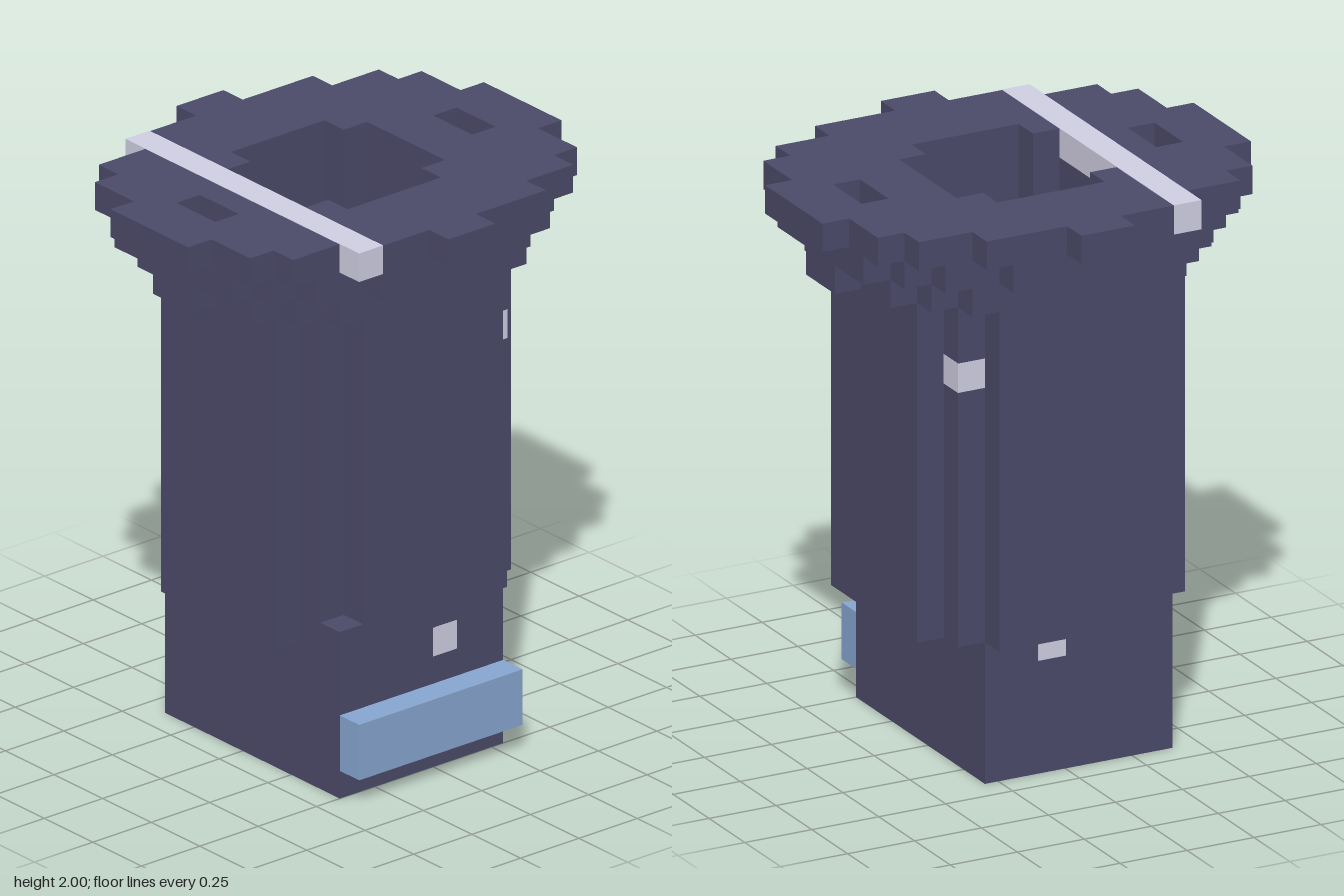
import * as THREE from 'three';

const mat = (name, hex) => {
  const m = new THREE.MeshStandardMaterial({ color: hex });
  m.name = name;
  return m;
};

// Four-way symmetric stepped outline from [halfX, halfZ] pairs, outermost z first
function stepped(steps, Kind = THREE.Shape) {
  const quarter = [];
  steps.forEach(([x, z], i) => {
    quarter.push([x, z]);
    if (i < steps.length - 1) quarter.push([x, steps[i + 1][1]]);
  });
  const back = [...quarter].reverse();
  // Counter-clockwise, so that outer and shaft walls both face the open air
  const points = [
    ...quarter.map(([x, z]) => [-x, z]),
    ...back.map(([x, z]) => [-x, -z]),
    ...quarter.map(([x, z]) => [x, -z]),
    ...back,
  ];
  return new Kind(points.map(([x, z]) => new THREE.Vector2(x, z)));
}

// Small rectangular slot beside the central shaft
function slot(x0, x1) {
  return new THREE.Path([[x0, -0.1], [x1, -0.1], [x1, 0.1], [x0, 0.1]]
    .map(([x, z]) => new THREE.Vector2(x, z)));
}

export function createModel() {
  const model = new THREE.Group();
  model.name = 'blockTower';
  const dark = mat('darkSlate', 0x4b4a69);
  const pale = mat('paleGrey', 0xd0cee2);
  const blue = mat('dustyBlue', 0x86a5d0);

  const add = (name, geometry, material) => {
    const mesh = new THREE.Mesh(geometry, material);
    mesh.name = name;
    model.add(mesh);
  };

  // Box between two limits on each axis, optionally swollen by a hair
  const box = (name, [x0, x1], [y0, y1], [z0, z1], material, grow = 0) => {
    const g = new THREE.BoxGeometry(x1 - x0 + 2 * grow, y1 - y0 + 2 * grow, z1 - z0 + 2 * grow);
    g.translate((x0 + x1) / 2, (y0 + y1) / 2, (z0 + z1) / 2);
    add(name, g, material);
  };

  // Horizontal slab with the central shaft cut through it
  const layer = (name, y0, y1, steps, slots = false) => {
    const shape = stepped(steps);
    shape.holes.push(stepped([[0.2, 0.3], [0.3, 0.2]], THREE.Path));
    if (slots) shape.holes.push(slot(-0.6, -0.5), slot(0.5, 0.6));
    const g = new THREE.ExtrudeGeometry(shape, { depth: y1 - y0, bevelEnabled: false });
    g.rotateX(-Math.PI / 2).translate(0, y0, 0);
    add(name, g, dark);
  };

  // Foot, whose top closes the shaft
  box('base', [-0.4, 0.3], [0, 0.6], [-0.4, 0.5], dark);
  box('frontBand', [-0.4, 0.3], [0.1, 0.3], [0.5, 0.6], blue);

  // Shaft and widening rim
  layer('towerShaft', 0.5, 1.7, [[0.3, 0.5], [0.4, 0.4], [0.5, 0.3]]);
  layer('rimLower', 1.7, 1.8, [[0.4, 0.5], [0.5, 0.4], [0.6, 0.3], [0.7, 0.1]]);
  layer('rimMiddle', 1.8, 1.9, [[0.3, 0.6], [0.5, 0.5], [0.6, 0.4], [0.7, 0.3]], true);
  layer('rimTop', 1.9, 2, [[0.1, 0.7], [0.4, 0.6], [0.6, 0.5], [0.7, 0.4], [0.8, 0.2]], true);

  // Pale bars running front to back
  const skin = 0.0015;
  box('topBar', [-0.4, -0.3], [1.9, 2], [-0.6, 0.6], pale, skin);
  box('sideBar', [0.3, 0.4], [1.4, 1.5], [-0.4, 0.4], pale, skin);
  box('baseBar', [0, 0.1], [0.4, 0.5], [-0.4, 0.5], pale, skin);

  return model;
}
